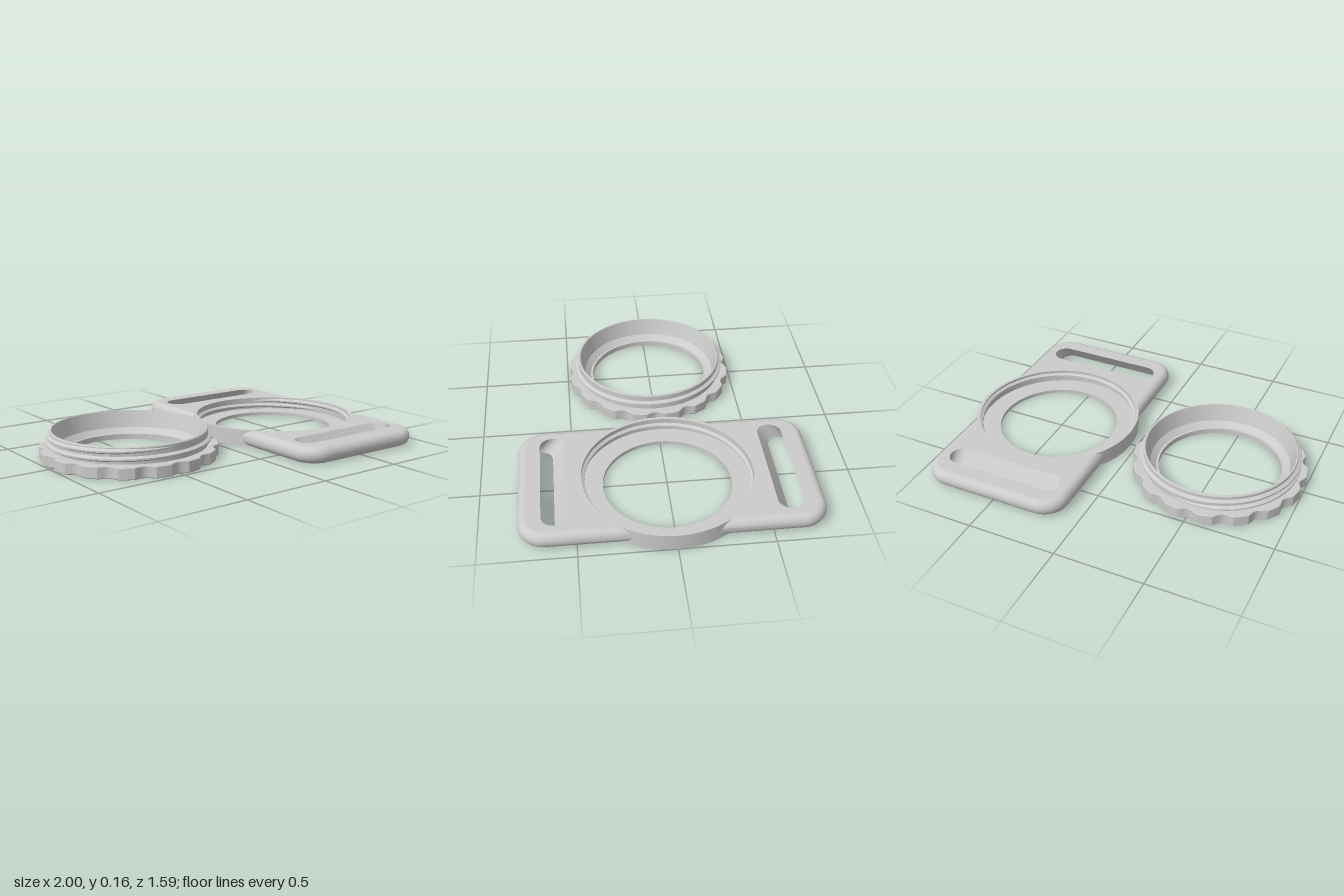
import * as THREE from 'three';
import { toCreasedNormals } from 'three/addons/utils/BufferGeometryUtils.js';

const material = new THREE.MeshStandardMaterial({ color: 0xcccccc });
const { PI, cos, sin } = Math;

function add(group, name, geometry) {
  const mesh = new THREE.Mesh(geometry, material);
  mesh.name = name;
  group.add(mesh);
}

// Skin joining closed loops of 3D points; upward, counter-clockwise loops face outward
function loft(loops) {
  const pos = [];
  for (let j = 0; j + 1 < loops.length; j++) {
    const lo = loops[j], hi = loops[j + 1], n = lo.length;
    for (let i = 0; i < n; i++) {
      const k = (i + 1) % n;
      for (const p of [lo[i], lo[k], hi[k], lo[i], hi[k], hi[i]]) pos.push(p.x, p.y, p.z);
    }
  }
  const g = new THREE.BufferGeometry();
  g.setAttribute('position', new THREE.Float32BufferAttribute(pos, 3));
  return toCreasedNormals(g, PI / 6);
}

// Plan outlines are 2D points, counter-clockwise from above
const level = (pts, y) => pts.map(p => new THREE.Vector3(p.x, y, -p.y));

function arc(cx, cy, r, a0, a1, n) {
  return Array.from({ length: n + 1 }, (_, i) => {
    const a = a0 + (a1 - a0) * i / n;
    return new THREE.Vector2(cx + r * cos(a), cy + r * sin(a));
  });
}
const circle = r => arc(0, 0, r, 0, 2 * PI, 96).slice(0, -1);
const turned = profile => loft(profile.map(([r, y]) => level(circle(r), y)));

// Flat face with holes, facing up or down
function cap(outline, holes, y, up) {
  const shape = new THREE.Shape(outline);
  shape.holes = holes.map(h => new THREE.Path(h));
  const g = new THREE.ShapeGeometry(shape);
  g.rotateX(up ? -PI / 2 : PI / 2);
  return g.translate(0, y, 0);
}

// Helical ridge with tapered ends; tip may lie outside or inside the wall
function thread(wall, tip, y0, y1, startAngle, turns) {
  const steps = Math.round(turns * 96), loops = [];
  const side = Math.sign(tip - wall), root = wall - side * 0.004;
  for (let i = 0; i <= steps; i++) {
    const t = i / steps, a = startAngle + t * turns * 2 * PI;
    const taper = Math.min(1, t * 12, (1 - t) * 12);
    const y = y0 + (y1 - y0) * t, crest = root + (tip - root) * taper;
    const section = [[root, 0.016], [crest, 0.004], [crest, -0.004], [root, -0.016]];
    loops.push(section.map(([r, h]) =>
      new THREE.Vector3(r * cos(a), y + h * side * (0.2 + 0.8 * taper), -r * sin(a))));
  }
  return loft(loops);
}

// Scalloped grip outline with 16 notches
function gripOutline(inset) {
  const pts = [], n = 16 * 14;
  for (let i = 0; i < n; i++) {
    const f = (i / 14) % 1, u = Math.min(f, 1 - f);
    const depth = u < 0.27 ? 0.025 * cos(u / 0.27 * PI / 2) : 0;
    const a = i / n * 2 * PI, r = 0.488 - inset - depth;
    pts.push(new THREE.Vector2(r * cos(a), r * sin(a)));
  }
  return pts;
}

function createRing() {
  const ring = new THREE.Group();
  ring.name = 'threadedRing';
  const H = 0.065;
  add(ring, 'gripEdge', loft([
    level(gripOutline(0.004), 0), level(gripOutline(0), 0.004),
    level(gripOutline(0), H - 0.004), level(gripOutline(0.004), H)]));
  add(ring, 'gripBottom', cap(gripOutline(0.004), [circle(0.345)], 0, false));
  add(ring, 'gripTop', cap(gripOutline(0.004), [circle(0.43)], H, true));
  // Collar: up the outside, over the rim, down the stepped bore
  add(ring, 'collar', turned([
    [0.43, H], [0.43, 0.15], [0.426, 0.155], [0.418, 0.155], [0.39, 0.06],
    [0.358, 0.03], [0.345, 0.03], [0.345, 0]]));
  add(ring, 'outerThread', thread(0.43, 0.449, 0.073, 0.138, -0.45 * PI - 1.6 * 2 * PI, 1.6));
  return ring;
}

// Rounded plate joined with a wider disc; only the plate shrinks with the inset
function plateOutline(inset) {
  const hw = 0.4225, hz = 0.795, rc = 0.14, R = 0.48;
  const a = Math.acos((hw - inset) / R), r = rc - inset;
  const half = [
    ...arc(0, 0, R, -a, a, 24),
    ...arc(hw - rc, hz - rc, r, 0, PI / 2, 12),
    ...arc(rc - hw, hz - rc, r, PI / 2, PI, 12)];
  return [...half, ...half.map(p => new THREE.Vector2(-p.x, -p.y))];
}

// Strap slot outline with round ends
function slot(z) {
  const r = 0.0675, h = 0.345 - r;
  return [...arc(h, z, r, -PI / 2, PI / 2, 12), ...arc(-h, z, r, PI / 2, 1.5 * PI, 12)];
}

function createPlate() {
  const plate = new THREE.Group();
  plate.name = 'strapPlate';
  const H = 0.092, round = 0.042, layers = [];
  for (let i = 0; i <= 12; i++) {
    const b = -PI / 2 + PI * i / 12;
    layers.push(level(plateOutline(round * (1 - cos(b))), H / 2 * (1 + sin(b))));
  }
  add(plate, 'plateEdge', loft(layers));
  const zTop = 0.608, zBottom = 0.676, edge = plateOutline(round);
  add(plate, 'plateTop', cap(edge, [circle(0.46), slot(zTop), slot(-zTop)], H, true));
  add(plate, 'plateBottom', cap(edge, [circle(0.347), slot(zBottom), slot(-zBottom)], 0, false));
  // Slots slant outward toward the underside
  for (const s of [1, -1]) {
    add(plate, s > 0 ? 'backSlotWall' : 'frontSlotWall',
      loft([level(slot(s * zTop), H), level(slot(s * zBottom), 0)]));
  }
  add(plate, 'socket', turned([[0.46, H], [0.46, 0.02], [0.347, 0.02], [0.347, 0]]));
  add(plate, 'innerThread', thread(0.46, 0.444, 0.036, 0.074, 0, 1.2));
  return plate;
}

export function createModel() {
  const model = new THREE.Group();
  model.name = 'strapPlateAndRing';
  const ring = createRing(), plate = createPlate();
  ring.position.x = -0.512;
  plate.position.x = 0.519;
  model.add(ring, plate);
  return model;
}
